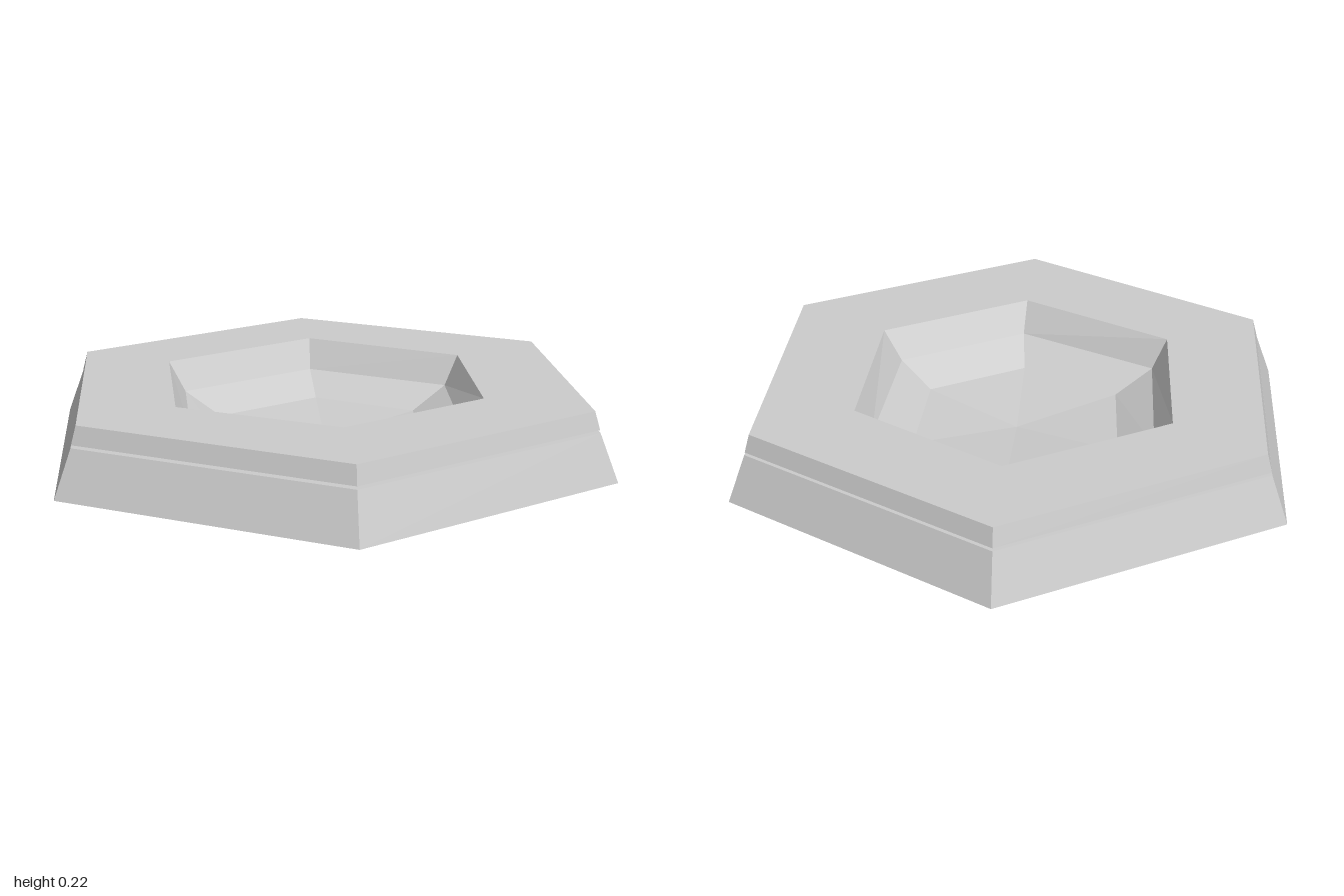
import * as THREE from 'three';

// Regular six-cornered ring with corners on the x axis
function hex(radius, y) {
  return Array.from({ length: 6 }, (_, i) => {
    const a = (i * Math.PI) / 3;
    return [radius * Math.cos(a), y, radius * Math.sin(a)];
  });
}

// Slightly uneven ring for the bowl: side corners at +-side, own front and back edges
function bowlRing(side, frontX, frontZ, backX, backZ, y) {
  return [
    [side, y, 0], [frontX, y, frontZ], [-frontX, y, frontZ],
    [-side, y, 0], [-backX, y, backZ], [backX, y, backZ],
  ];
}

// Faceted skin joining consecutive rings; a ring of radius 0 closes the end
function loft(name, rings, material) {
  const positions = [];
  for (let r = 0; r < rings.length - 1; r++) {
    const p = rings[r], q = rings[r + 1];
    for (let i = 0; i < 6; i++) {
      const j = (i + 1) % 6;
      positions.push(...p[i], ...q[i], ...p[j], ...p[j], ...q[i], ...q[j]);
    }
  }
  const geometry = new THREE.BufferGeometry();
  geometry.setAttribute('position', new THREE.Float32BufferAttribute(positions, 3));
  geometry.computeVertexNormals();
  const mesh = new THREE.Mesh(geometry, material);
  mesh.name = name;
  return mesh;
}

export function createModel() {
  const group = new THREE.Group();
  group.name = 'hexagonalDish';
  const material = new THREE.MeshStandardMaterial({ color: 0xcccccc, flatShading: true });

  const rim = bowlRing(0.57, 0.275, 0.483, 0.295, -0.507, 0.222);

  group.add(
    // Sloping foot with a closed underside
    loft('base', [hex(0, 0), hex(1, 0), hex(0.937, 0.154)], material),
    // Narrow shadow gap between foot and top slab
    loft('groove', [hex(0.937, 0.154), hex(0.85, 0.154), hex(0.85, 0.163), hex(0.935, 0.163)], material),
    // Bevelled top slab with the opening in its middle
    loft('topSlab', [hex(0.935, 0.163), hex(0.917, 0.222), rim], material),
    // Faceted bowl sunk into the slab
    loft('bowl', [
      rim,
      bowlRing(0.515, 0.235, 0.43, 0.262, -0.457, 0.122),
      bowlRing(0.375, 0.18, 0.31, 0.2, -0.333, 0.053),
      hex(0, 0.02),
    ], material),
  );
  return group;
}
